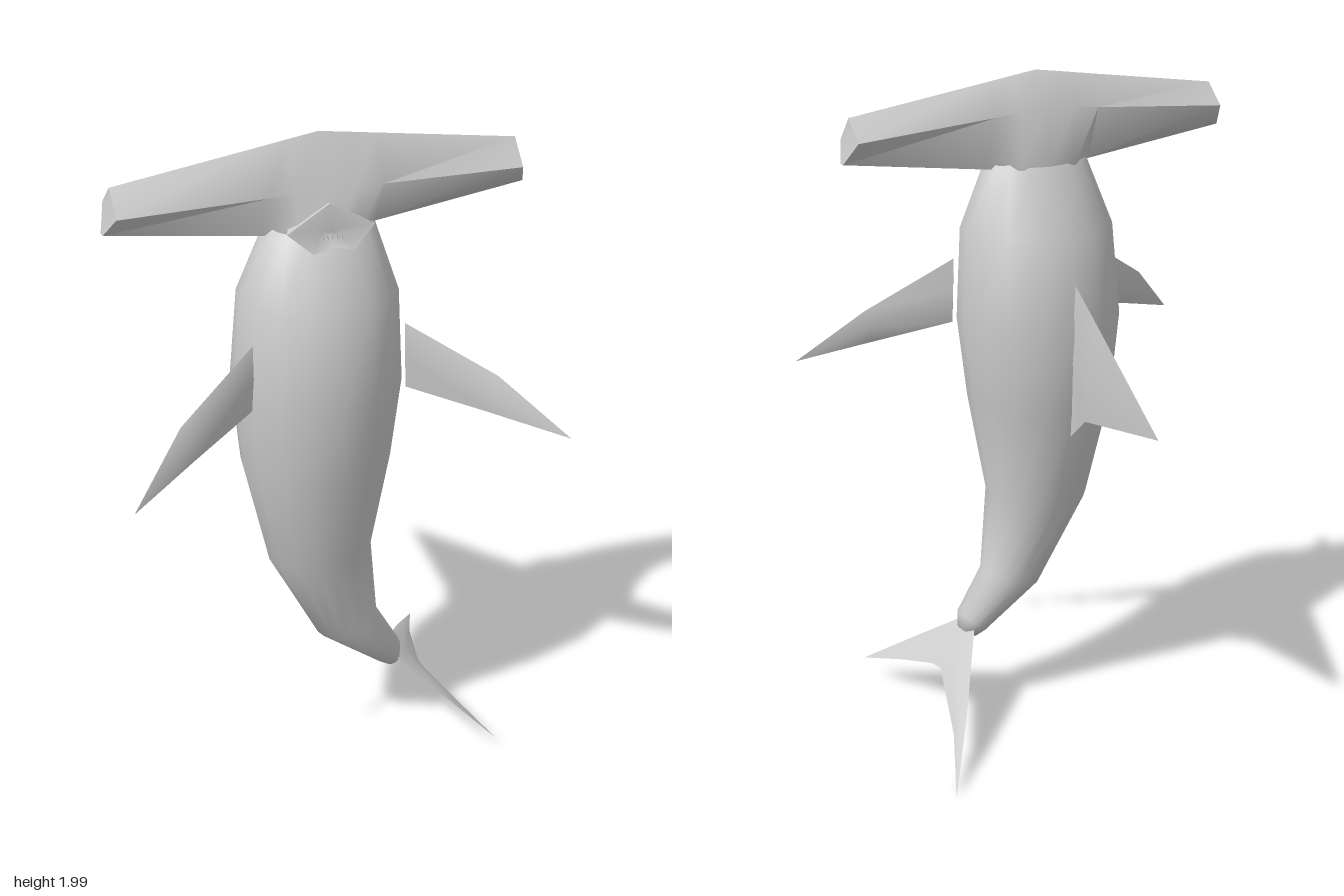
import * as THREE from 'three';
import { toCreasedNormals } from 'three/addons/utils/BufferGeometryUtils.js';

const material = new THREE.MeshStandardMaterial({ color: 0xcccccc, side: THREE.DoubleSide });
const V = (x, y, z) => new THREE.Vector3(x, y, z);

// Skin a row of equal-length rings, close both ends, and turn the faces outward.
function loft(name, rings, crease = 1.0) {
  const n = rings[0].length;
  const tris = [];
  const add = (a, b, c) => {
    const area = b.clone().sub(a).cross(c.clone().sub(a)).length();
    if (area > 1e-7) tris.push([a, b, c]);
  };
  for (let i = 0; i < rings.length - 1; i++) {
    for (let j = 0; j < n; j++) {
      const k = (j + 1) % n;
      const [a, b, c, d] = [rings[i][j], rings[i][k], rings[i + 1][k], rings[i + 1][j]];
      add(a, b, c);
      add(a, c, d);
    }
  }
  for (const [ring, flip] of [[rings[0], true], [rings[rings.length - 1], false]]) {
    const mid = ring.reduce((s, p) => s.add(p), V(0, 0, 0)).divideScalar(n);
    for (let j = 0; j < n; j++) {
      const [p, q] = [ring[j], ring[(j + 1) % n]];
      flip ? add(mid, q, p) : add(mid, p, q);
    }
  }
  const volume = tris.reduce((s, [a, b, c]) => s + a.dot(b.clone().cross(c)), 0);
  const points = tris.flatMap(([a, b, c]) => (volume < 0 ? [a, c, b] : [a, b, c]));
  const geometry = toCreasedNormals(new THREE.BufferGeometry().setFromPoints(points), crease);
  const mesh = new THREE.Mesh(geometry, material);
  mesh.name = name;
  return mesh;
}

// Lens-shaped fin; each section is [leading point, trailing point, half thickness].
function fin(name, normal, sections) {
  const dir = normal.clone().normalize();
  return loft(name, sections.map(([lead, trail, t]) => {
    const mid = lead.clone().add(trail).multiplyScalar(0.5);
    return [lead, mid.clone().addScaledVector(dir, t), trail, mid.clone().addScaledVector(dir, -t)];
  }));
}

// Body: left x, left y, right x, right y, back z, front z of each ring
function body() {
  const sections = [
    [-0.15, 1.76, 0.15, 1.76, 0.13, 0.27],
    [-0.17, 1.72, 0.17, 1.72, 0.105, 0.305],
    [-0.235, 1.53, 0.235, 1.53, -0.01, 0.41],
    [-0.25, 1.25, 0.25, 1.25, -0.055, 0.435],
    [-0.22, 0.98, 0.222, 1.0, -0.03, 0.405],
    [-0.145, 0.67, 0.17, 0.7, 0.04, 0.34],
    [0.01, 0.385, 0.195, 0.445, 0.11, 0.285],
    [0.2, 0.25, 0.275, 0.31, 0.135, 0.262],
    [0.228, 0.232, 0.278, 0.262, 0.16, 0.24],
  ];
  return loft('body', sections.map(([lx, ly, rx, ry, z0, z1]) =>
    Array.from({ length: 16 }, (_, i) => {
      const a = (i / 16) * Math.PI * 2;
      const u = (Math.cos(a) + 1) / 2;
      return V(lx + (rx - lx) * u, ly + (ry - ly) * u, (z0 + z1) / 2 + ((z1 - z0) / 2) * Math.sin(a));
    })), 1.2);
}

// Wide head: [y, z] outline at x = 0 outward to the tip, mirrored to the other side
function head() {
  const half = [
    [0, [[2, 0.2], [1.9, 0.12], [1.72, 0.108], [1.72, 0.307], [1.85, 0.275]]],
    [0.09, [[1.987, 0.2], [1.895, 0.122], [1.72, 0.12], [1.72, 0.292], [1.85, 0.274]]],
    [0.17, [[1.975, 0.2], [1.885, 0.124], [1.72, 0.185], [1.72, 0.215], [1.85, 0.272]]],
    [0.6, [[1.912, 0.2], [1.85, 0.13], [1.78, 0.19], [1.78, 0.21], [1.84, 0.262]]],
  ];
  const ring = (x, outline, side) => outline.map(([y, z], i) =>
    V(side * (x === 0.6 && (i === 2 || i === 3) ? 0.625 : x), y, z));
  return loft('head', [
    ...half.slice(1).reverse().map(([x, o]) => ring(x, o, -1)),
    ...half.map(([x, o]) => ring(x, o, 1)),
  ], 1.1);
}

// Mouth: raised lip around a shallow hollow, with a short row of teeth
function mouth() {
  const group = new THREE.Group();
  group.name = 'mouth';
  const rim = [[0, 1.82, 0.292], [0.13, 1.75, 0.307], [0.06, 1.69, 0.33],
    [0, 1.705, 0.33], [-0.06, 1.69, 0.33], [-0.13, 1.75, 0.307]];
  group.add(loft('lips', [
    rim.map(([x, y]) => V(x * 0.8, y, 0.24)),
    rim.map((p) => V(...p)),
    rim.map(([x, y]) => V(x * 0.2, 1.745 + (y - 1.745) * 0.2, 0.306)),
  ], 0.7));
  for (let i = -2; i <= 2; i++) {
    const tooth = new THREE.Mesh(new THREE.ConeGeometry(0.005, 0.016, 4), material);
    tooth.name = 'tooth';
    tooth.position.set(i * 0.014, 1.73, 0.313);
    group.add(tooth);
  }
  return group;
}

export function createModel() {
  const model = new THREE.Group();
  model.name = 'hammerheadShark';
  model.add(body(), head(), mouth());

  // Pectoral fins, one per side
  for (const [side, name] of [[1, 'leftPectoralFin'], [-1, 'rightPectoralFin']]) {
    model.add(fin(name, V(side * -0.5, 0, 0.86), [
      [V(side * 0.23, 1.43, 0.3), V(side * 0.235, 1.23, 0.305), 0.005],
      [V(side * 0.48, 1.27, 0.41), V(side * 0.45, 1.165, 0.425), 0.017],
      [V(side * 0.657, 1.1, 0.543), V(side * 0.657, 1.1, 0.543), 0],
    ]));
  }

  // Dorsal fin on the back
  model.add(fin('dorsalFin', V(1, 0, 0), [
    [V(0, 1.4, -0.05), V(0, 0.92, -0.02), 0.006],
    [V(0, 1.3, -0.2), V(0, 0.995, -0.11), 0.017],
    [V(0, 1.07, -0.54), V(0, 1.07, -0.54), 0],
  ]));

  // Forked tail fin, lying in a plane that slopes out to the left
  const tail = (y, z) => V(0.275 + (0.25 - y) * 1.2, y, z);
  model.add(fin('tailFin', V(0.64, 0.77, 0), [
    [tail(0.08, 0.5), tail(0.08, 0.5), 0],
    [tail(0.185, 0.365), tail(0.13, 0.33), 0.008],
    [tail(0.268, 0.255), tail(0.165, 0.19), 0.012],
    [tail(0.268, 0.145), tail(0.168, 0.14), 0.012],
    [tail(0.13, -0.14), tail(0.09, -0.15), 0.007],
    [tail(0.008, -0.372), tail(0.008, -0.372), 0],
  ]));
  return model;
}
